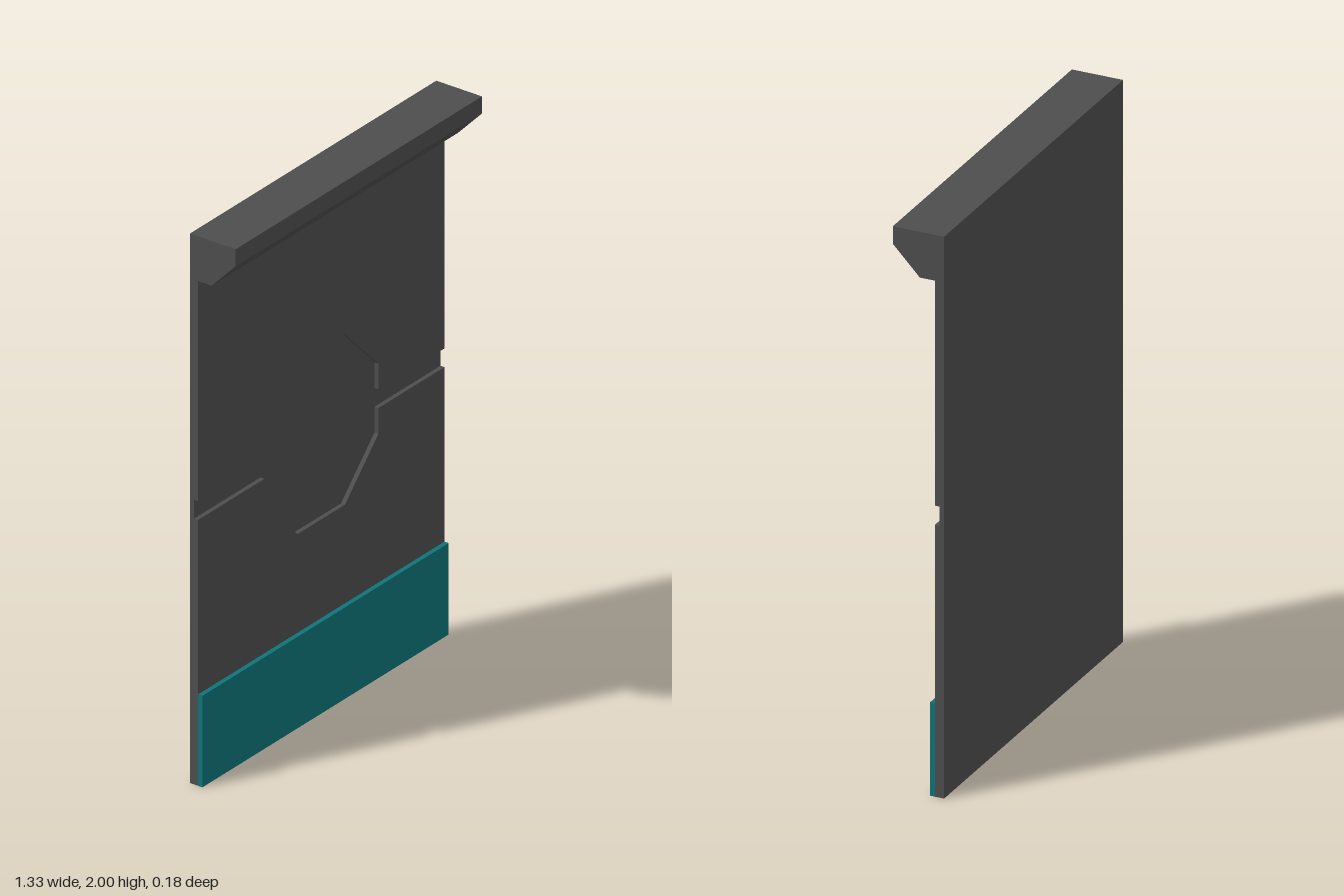
import * as THREE from 'three';

const HALF_W = 0.665, BACK = -0.092, RECESS = -0.075, FACE = -0.059;
const MID = 1.002, GAP = 0.034; // centre height and half height of the groove

export function createModel() {
  const group = new THREE.Group();
  const grey = new THREE.MeshStandardMaterial({ color: 0x4d4d4d, flatShading: true });
  const teal = new THREE.MeshStandardMaterial({ color: 0x0d7377, flatShading: true });

  const add = (name, geometry, material) => {
    const mesh = new THREE.Mesh(geometry, material);
    mesh.name = name;
    group.add(mesh);
    return mesh;
  };
  const extrude = (points, depth) => new THREE.ExtrudeGeometry(
    new THREE.Shape(points.map(([x, y]) => new THREE.Vector2(x, y))),
    { depth, bevelEnabled: false });
  // Full-width box between two heights and two depths
  const slab = (name, y0, y1, z0, z1, material) =>
    add(name, new THREE.BoxGeometry(2 * HALF_W, y1 - y0, z1 - z0), material)
      .position.set(0, (y0 + y1) / 2, (z0 + z1) / 2);

  // Backing plate, forming the floor of the groove and octagon
  slab('backPlate', 0, 2, BACK, RECESS, grey);

  // Raised panels, each with half of the octagonal recess cut out
  const panel = (name, edgeY, side) => {
    const half = [[HALF_W, GAP], [0.308, GAP], [0.308, 0.128], [0.128, 0.31]];
    const inner = [...half, ...half.map(([x, y]) => [-x, y]).reverse()]
      .map(([x, y]) => [x, MID + side * y]);
    const outline = [...inner, [-HALF_W, edgeY], [HALF_W, edgeY]];
    add(name, extrude(outline, FACE - RECESS), grey).position.z = RECESS;
  };
  panel('upperPanel', 2, 1);
  panel('lowerPanel', 0, -1);

  // Skirting strip along the foot
  slab('skirtingStrip', 0, 0.333, FACE, -0.042, teal);

  // Overhanging top ledge with a sloped underside, profile in (z, y)
  const ledge = [[FACE, 1.837], [-0.005, 1.837], [0.092, 1.938], [0.092, 2], [FACE, 2]];
  const mesh = add('topLedge', extrude(ledge.map(([z, y]) => [-z, y]), 2 * HALF_W), grey);
  mesh.rotation.y = Math.PI / 2;
  mesh.position.x = -HALF_W;

  return group;
}
